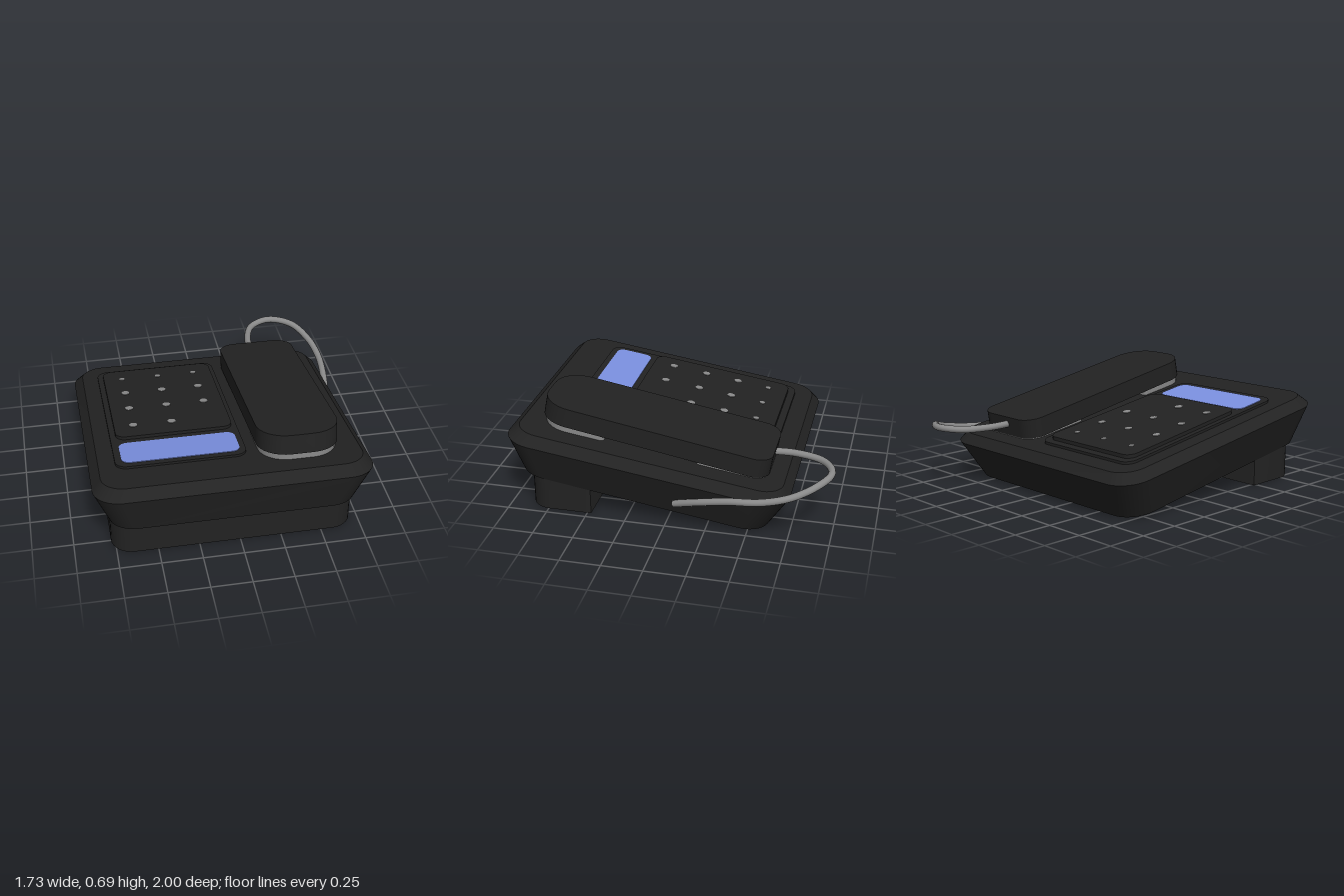
import * as THREE from 'three';
import { toCreasedNormals } from 'three/addons/utils/BufferGeometryUtils.js';

// Sloping plane: height y0 at z0, rising by k per unit z
const plane = (y0, z0, k) => (z) => y0 + k * (z - z0);
const deck = plane(0.545, 0.94, 0.151);
const above = (h) => (z) => deck(z) + h;

// Rounded rectangle in plan, counter-clockwise from above; rf / rb are front / back radii
function ring(x0, x1, z0, z1, rf, rb, y) {
  const pts = [], n = 8;
  const corners = [[x1 - rb, z0 + rb, rb], [x0 + rb, z0 + rb, rb], [x0 + rf, z1 - rf, rf], [x1 - rf, z1 - rf, rf]];
  corners.forEach(([cx, cz, r], q) => {
    for (let i = 0; i <= n; i++) {
      const a = (q + i / n) * Math.PI / 2;
      const z = cz - r * Math.sin(a);
      pts.push([cx + r * Math.cos(a), y(z), z]);
    }
  });
  return pts;
}

// Closed solid through a stack of rings, lowest first
function loft(rings) {
  const pos = [], n = rings[0].length;
  const tri = (a, b, c) => pos.push(...a, ...b, ...c);
  const mid = (r) => [0, 1, 2].map((k) => r.reduce((s, p) => s + p[k], 0) / n);
  const low = rings[0], top = rings[rings.length - 1];
  const lowMid = mid(low), topMid = mid(top);
  for (let j = 0; j < n; j++) {
    const k = (j + 1) % n;
    tri(lowMid, low[k], low[j]);
    tri(topMid, top[j], top[k]);
    for (let i = 0; i + 1 < rings.length; i++) {
      const a = rings[i], b = rings[i + 1];
      tri(a[j], a[k], b[k]);
      tri(a[j], b[k], b[j]);
    }
  }
  const g = new THREE.BufferGeometry();
  g.setAttribute('position', new THREE.Float32BufferAttribute(pos, 3));
  return toCreasedNormals(g, 0.5);
}

export function createModel() {
  const model = new THREE.Group();
  model.name = 'deskTelephone';
  const material = (name, color) => {
    const m = new THREE.MeshStandardMaterial({ color });
    m.name = name;
    return m;
  };
  const black = material('black plastic', 0x222222);
  const grey = material('grey', 0x8a8a8a);
  const blue = material('display blue', 0x7b90e0);
  const add = (name, geometry, mat) => {
    const mesh = new THREE.Mesh(geometry, mat);
    mesh.name = name;
    model.add(mesh);
    return mesh;
  };
  // Plate lying on the sloping deck, between heights h0 and h1
  const plate = (x0, x1, z0, z1, r, h0, h1) =>
    loft([ring(x0, x1, z0, z1, r, r, above(h0)), ring(x0, x1, z0, z1, r, r, above(h1))]);

  // Sloping body: narrow underside, wide waist, bevelled top
  add('body', loft([
    ring(-0.78, 0.71, -0.61, 0.94, 0.16, 0.16, plane(0.003, -0.61, 0.152)),
    ring(-0.87, 0.80, -0.745, 1.0, 0.17, 0.17, plane(0.235, -0.745, 0.147)),
    ring(-0.815, 0.745, -0.70, 0.935, 0.14, 0.14, deck),
  ]), black);

  // Foot holding up the front
  const flat = (y) => () => y;
  add('foot', loft([
    ring(-0.775, 0.705, 0.475, 0.875, 0.13, 0.004, flat(0.004)),
    ring(-0.775, 0.705, 0.475, 0.875, 0.13, 0.004, plane(0.24, 0.875, 0.152)),
  ]), black);

  // Raised panel, keypad and display
  add('panel', plate(-0.715, 0.07, -0.585, 0.715, 0.07, -0.01, 0.016), black);
  add('keypad', plate(-0.68, 0.04, -0.54, 0.39, 0.06, 0.01, 0.038), black);
  add('display', plate(-0.675, 0.035, 0.435, 0.675, 0.05, 0.012, 0.02), blue);

  // Key marks: three columns, four rows, the last place left empty
  [-0.41, -0.2, 0.02, 0.25].forEach((z, row) => {
    [-0.56, -0.32, -0.08].forEach((x, col) => {
      if (row === 3 && col === 2) return;
      const r = row ? 0.025 : 0.018;
      add('keyMark', plate(x - r, x + r, z - r, z + r, r, 0.036, 0.041), grey);
    });
  });

  // Handset, slightly steeper than the deck
  const under = plane(0.57, 0.822, 0.177);
  add('handset', loft([
    ring(0.13, 0.625, -0.60, 0.825, 0.18, 0.11, under),
    ring(0.13, 0.625, -0.62, 0.80, 0.18, 0.11, plane(0.69, 0.80, 0.177)),
  ]), black);

  // Grey cups between handset and deck
  const cup = (z0, z1, rf, rb) => loft([
    ring(0.14, 0.615, z0, z1, rf, rb, above(-0.01)),
    ring(0.14, 0.615, z0, z1, rf, rb, (z) => under(z) + 0.003),
  ]);
  add('mouthpieceCup', cup(0.41, 0.815, 0.17, 0.02), grey);
  add('earpieceCup', cup(-0.595, -0.165, 0.02, 0.1), grey);

  // Cord looping from the handset back to the side of the body
  const path = new THREE.CatmullRomCurve3([
    [0.365, 0.39, -0.58], [0.365, 0.39, -0.74], [0.43, 0.39, -0.91], [0.57, 0.39, -0.977],
    [0.72, 0.375, -0.91], [0.81, 0.33, -0.77], [0.842, 0.295, -0.6], [0.83, 0.27, -0.4],
    [0.80, 0.225, -0.22], [0.745, 0.165, -0.06],
  ].map((p) => new THREE.Vector3(...p)));
  add('cord', new THREE.TubeGeometry(path, 64, 0.022, 12), grey);

  return model;
}
